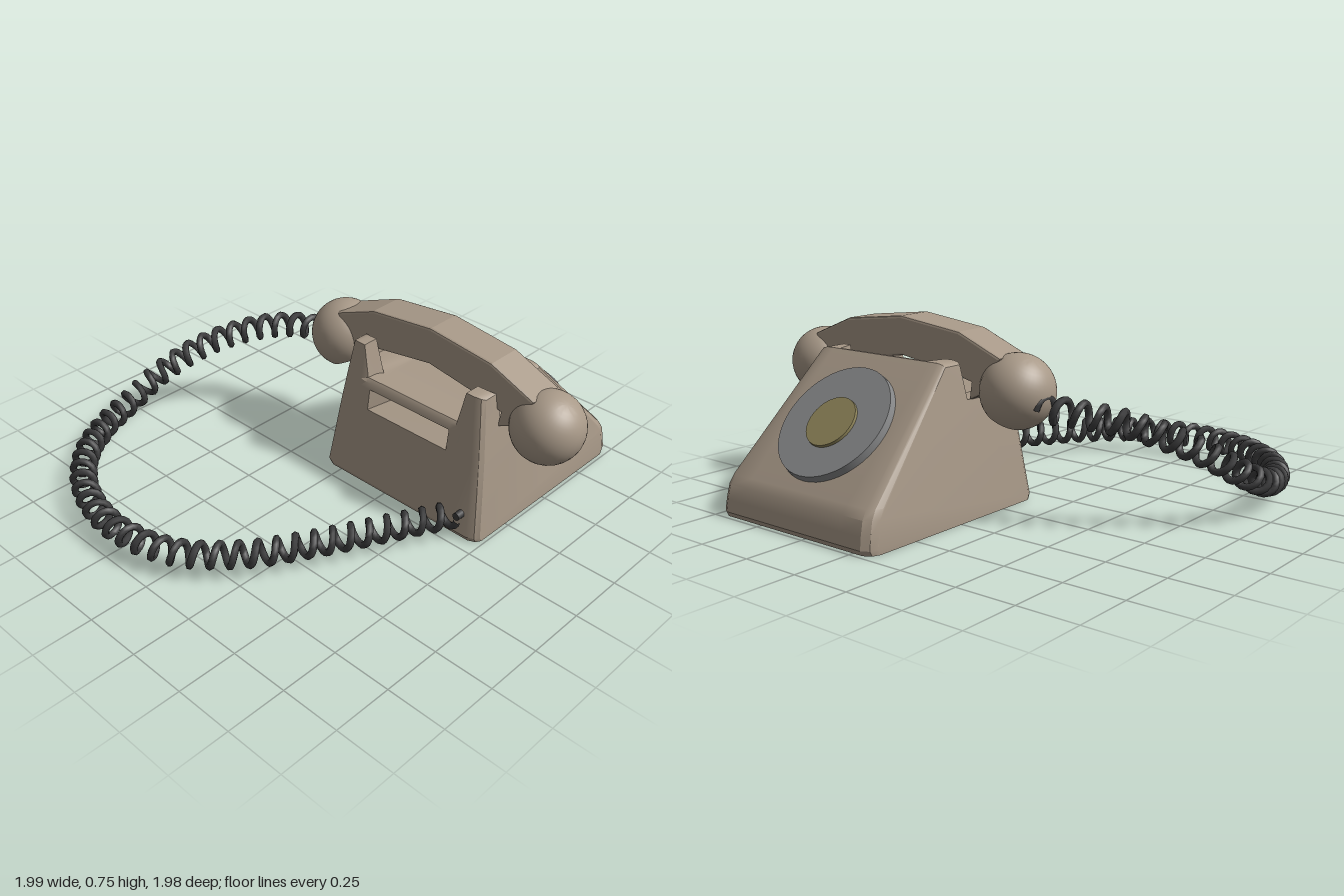
import * as THREE from 'three';
import { toCreasedNormals } from 'three/addons/utils/BufferGeometryUtils.js';

const CX = 0.3225; // middle of the telephone, the cord loops out to its right

const mat = (name, color) => {
  const m = new THREE.MeshStandardMaterial({ color });
  m.name = name;
  return m;
};

// Joins equal-length rings of points into a closed skin with flat end caps
function loft(rings) {
  const pos = [];
  const tri = (a, b, c) => {
    const n = b.clone().sub(a).cross(c.clone().sub(a));
    if (n.length() > 1e-8) for (const p of [a, b, c]) pos.push(p.x, p.y, p.z);
  };
  const count = rings[0].length;
  for (let j = 0; j < rings.length - 1; j++) {
    for (let i = 0; i < count; i++) {
      const k = (i + 1) % count, A = rings[j], B = rings[j + 1];
      tri(A[i], B[i], B[k]);
      tri(A[i], B[k], A[k]);
    }
  }
  for (const [ring, sign] of [[rings[0], -1], [rings[rings.length - 1], 1]]) {
    const flat = ring.map(p => new THREE.Vector2(p.z, p.y));
    for (const [a, b, c] of THREE.ShapeUtils.triangulateShape(flat, [])) {
      const area = THREE.ShapeUtils.area([flat[a], flat[b], flat[c]]);
      if (area * sign < 0) tri(ring[a], ring[b], ring[c]);
      else tri(ring[a], ring[c], ring[b]);
    }
  }
  const g = new THREE.BufferGeometry();
  g.setAttribute('position', new THREE.Float32BufferAttribute(pos, 3));
  return toCreasedNormals(g, 0.5);
}

// Housing: side profiles (z, y) swept across the width
function bodyGeometry() {
  const side = [
    [-0.06, 0], [-0.05, 0.02],                                          // front foot
    [-0.094, 0.34], [-0.094, 0.34], [-0.106, 0.43], [-0.106, 0.43],     // closed grip recess
    [-0.11, 0.46], [-0.13, 0.61], [-0.2, 0.61], [-0.22, 0.46],          // front prong
    [-0.39, 0.46], [-0.41, 0.61], [-0.5, 0.61],                         // rear wall
    [-0.945, 0.16], [-0.968, 0.125], [-0.982, 0.07], [-0.99, 0.02], [-0.98, 0],
  ];
  const middle = side.map(p => [...p]);
  middle[6] = [-0.112, 0.455];
  middle[7] = [-0.125, 0.47];
  middle[8] = [-0.18, 0.465];
  middle[9] = [-0.22, 0.45];
  middle[10] = [-0.43, 0.45];
  middle[11] = [-0.488, 0.61];
  const grip = middle.map(p => [...p]);
  grip[3] = [-0.2, 0.36];
  grip[4] = [-0.2, 0.42];

  // half width, profile, inset scale of z, and whether the side leans inwards
  const half = [
    [0.4125, side, 0.91, true], [0.4, side, 0.965, true], [0.37, side, 1, true],
    [0.262, side, 1, false], [0.235, middle, 1, false],
    [0.208, middle, 1, false], [0.165, grip, 1, false],
  ];
  const lean = y => y < 0.12 ? 1 - 0.15 * y : 0.982 - (y - 0.12) * 0.345;
  const ring = ([w, profile, s, leans], sign) => profile.map(([z, y]) =>
    new THREE.Vector3(CX + sign * w * (leans ? lean(y) : 1), y > 0.6 ? y - (1 - s) * 0.15 : y, -0.45 + (z + 0.45) * s));
  return loft([...half.map(h => ring(h, -1)), ...half.reverse().map(h => ring(h, 1))]);
}

// Angular grip with a short neck at each end
function handleGeometry() {
  const right = [[0.3, 0.715], [0.505, 0.632], [0.45, 0.5], [0.35, 0.455], [0.36, 0.525], [0.255, 0.55]];
  const pts = [[0, 0.75], ...right, [0, 0.59], ...right.map(([x, y]) => [-x, y]).reverse()];
  const b = 0.01;
  const g = new THREE.ExtrudeGeometry(new THREE.Shape(pts.map(([x, y]) => new THREE.Vector2(x, y))), {
    depth: 0.16 - 2 * b, bevelThickness: b, bevelSize: b, bevelOffset: -b, bevelSegments: 2,
  });
  return g.translate(CX, 0, -0.38 + b);
}

// Ball with a flat cut on its lower pole
function ballGeometry() {
  const r = 0.148, end = 2.42, pts = [new THREE.Vector2(0, -0.111)];
  for (let i = 0; i <= 18; i++) {
    const t = end * (1 - i / 18);
    pts.push(new THREE.Vector2(r * Math.sin(t), r * Math.cos(t)));
  }
  return toCreasedNormals(new THREE.LatheGeometry(pts, 32), 0.6);
}

// Coil wound around the cord's path
function cordGeometry(path) {
  const turns = 46, steps = turns * 12, pts = [];
  const up = new THREE.Vector3(0, 1, 0);
  for (let i = 0; i <= steps; i++) {
    const t = i / steps, a = t * turns * Math.PI * 2;
    const tangent = path.getTangentAt(t);
    const n = tangent.clone().cross(up).normalize();
    const b = n.clone().cross(tangent);
    pts.push(path.getPointAt(t).addScaledVector(n, 0.044 * Math.cos(a)).addScaledVector(b, 0.044 * Math.sin(a)));
  }
  return new THREE.TubeGeometry(new THREE.CatmullRomCurve3(pts), turns * 16, 0.015, 6);
}

export function createModel() {
  const model = new THREE.Group();
  model.name = 'telephone';
  const shell = mat('beige shell', 0xa89988);
  const grey = mat('dial grey', 0x858687);
  const gold = mat('hub gold', 0x8c8258);
  const black = mat('cord black', 0x3c3c3d);
  const add = (name, geometry, material, parent = model) => {
    const m = new THREE.Mesh(geometry, material);
    m.name = name;
    parent.add(m);
    return m;
  };

  add('body', bodyGeometry(), shell);

  // Dial on the sloping face
  const dial = new THREE.Group();
  dial.name = 'dial';
  dial.position.set(CX, 0.372, -0.735);
  dial.rotation.x = -Math.PI / 4;
  model.add(dial);
  add('dialPlate', new THREE.CylinderGeometry(0.25, 0.256, 0.05, 48), grey, dial).position.y = 0.005;
  add('dialHub', new THREE.CylinderGeometry(0.11, 0.113, 0.03, 40), gold, dial).position.set(0, 0.027, -0.01);

  // Handset resting across the cradle
  const handset = new THREE.Group();
  handset.name = 'handset';
  model.add(handset);
  add('handle', handleGeometry(), shell, handset);
  for (const s of [-1, 1]) {
    const ball = add(s < 0 ? 'mouthpiece' : 'earpiece', ballGeometry(), shell, handset);
    ball.position.set(CX + s * 0.527, 0.5, -0.3);
    ball.rotation.z = -s * 0.5;
  }

  // Coiled cord from the mouthpiece round to the front of the body
  const path = new THREE.CatmullRomCurve3([
    [-0.32, 0.45, -0.31], [-0.45, 0.445, -0.28], [-0.62, 0.41, -0.18], [-0.8, 0.32, -0.02],
    [-0.92, 0.2, 0.16], [-0.925, 0.125, 0.34], [-0.87, 0.098, 0.54], [-0.75, 0.095, 0.72],
    [-0.54, 0.095, 0.87], [-0.27, 0.095, 0.93], [0, 0.095, 0.87], [0.2, 0.095, 0.7],
    [0.36, 0.095, 0.45], [0.5, 0.095, 0.18], [0.62, 0.095, -0.05],
  ].map(p => new THREE.Vector3(...p)));
  add('cord', cordGeometry(path), black);
  const plug = add('cordPlug', new THREE.CylinderGeometry(0.017, 0.017, 0.07, 10), black);
  plug.position.set(0.65, 0.11, -0.065);
  plug.rotation.x = Math.PI / 2;
  return model;
}
